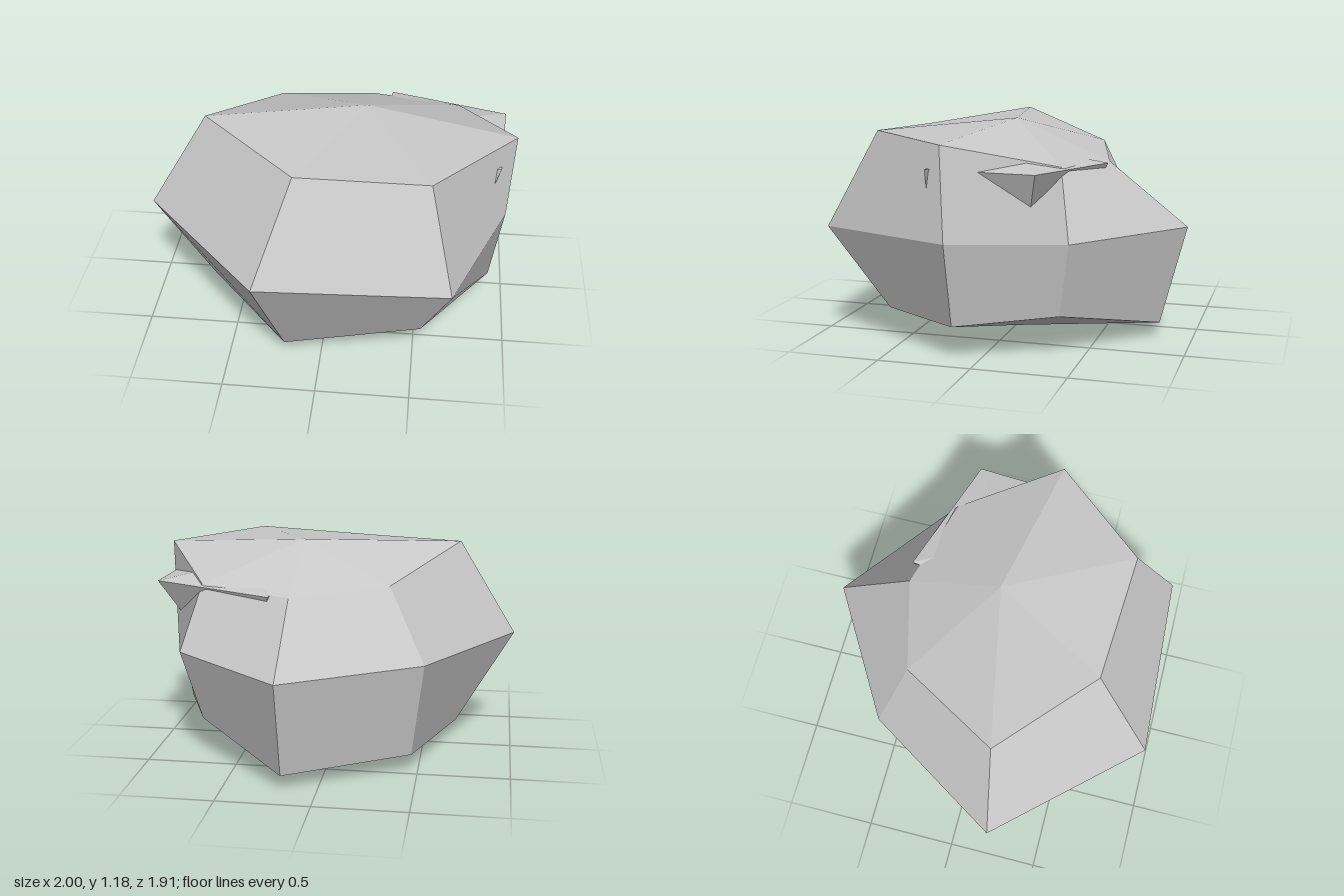
import * as THREE from 'three';

const stone = new THREE.MeshStandardMaterial({ color: 0xc8c8c8 });
stone.name = 'grey stone';

// Closed faceted stone: rings run counterclockwise seen from above, lowest ring first
function facetedStone(name, bottom, rings, top) {
  const position = [], normal = [];
  // Each facet has one normal, taken across its two diagonals (or sides for a triangle)
  function facet(a, b, c, d) {
    const [va, vb, vc, vd] = [a, b, c, d || a].map((p) => new THREE.Vector3(...p));
    const n = vc.sub(va).cross(vd.sub(vb)).normalize();
    const corners = d ? [a, b, d, b, c, d] : [a, b, c];
    for (const p of corners) {
      position.push(...p);
      normal.push(n.x, n.y, n.z);
    }
  }
  const count = rings[0].length;
  const last = rings[rings.length - 1];
  for (let i = 0; i < count; i++) {
    const j = (i + 1) % count;
    facet(rings[0][j], rings[0][i], bottom);
    for (let k = 0; k + 1 < rings.length; k++) {
      facet(rings[k][i], rings[k][j], rings[k + 1][j], rings[k + 1][i]);
    }
    facet(last[i], last[j], top);
  }
  const geometry = new THREE.BufferGeometry();
  geometry.setAttribute('position', new THREE.Float32BufferAttribute(position, 3));
  geometry.setAttribute('normal', new THREE.Float32BufferAttribute(normal, 3));
  const mesh = new THREE.Mesh(geometry, stone);
  mesh.name = name;
  return mesh;
}

export function createModel() {
  const group = new THREE.Group();
  group.name = 'boulder';

  // Main boulder: seven-sided lower, middle and upper rings
  group.add(facetedStone('mainBoulder', [0.19, 0, -0.01], [
    [[-0.68, 0.085, 0.17], [-0.2, 0.075, 0.72], [0.54, 0.15, 0.62], [0.91, 0.18, 0.13],
      [0.71, 0.22, -0.385], [0.19, 0.08, -0.82], [-0.465, 0.1, -0.475]],
    [[-1, 0.62, 0.22], [-0.33, 0.62, 0.955], [0.69, 0.62, 0.905], [0.975, 0.62, 0.145],
      [0.81, 0.62, -0.455], [0.19, 0.62, -0.96], [-0.53, 0.62, -0.53]],
    [[-0.68, 1.16, 0.16], [-0.15, 1.1, 0.615], [0.56, 1.13, 0.66], [0.998, 1.12, 0.15],
      [0.69, 0.99, -0.385], [0.19, 0.96, -0.53], [-0.33, 1.01, -0.39]],
  ], [0.19, 1.18, -0.01]));

  // Smaller stone embedded in it, with only its corners breaking the surface
  group.add(facetedStone('embeddedStone', [0.5, 0.45, -0.05], [
    [[0.3, 0.62, 0.2], [0.81, 0.62, 0.26], [0.74, 0.63, -0.22], [0.36, 0.62, -0.36]],
    [[0.2, 0.98, 0.2], [0.92, 0.985, 0.26], [0.957, 0.985, -0.322], [0.3, 0.965, -0.545]],
  ], [0.5, 1.07, -0.08]));

  return group;
}
